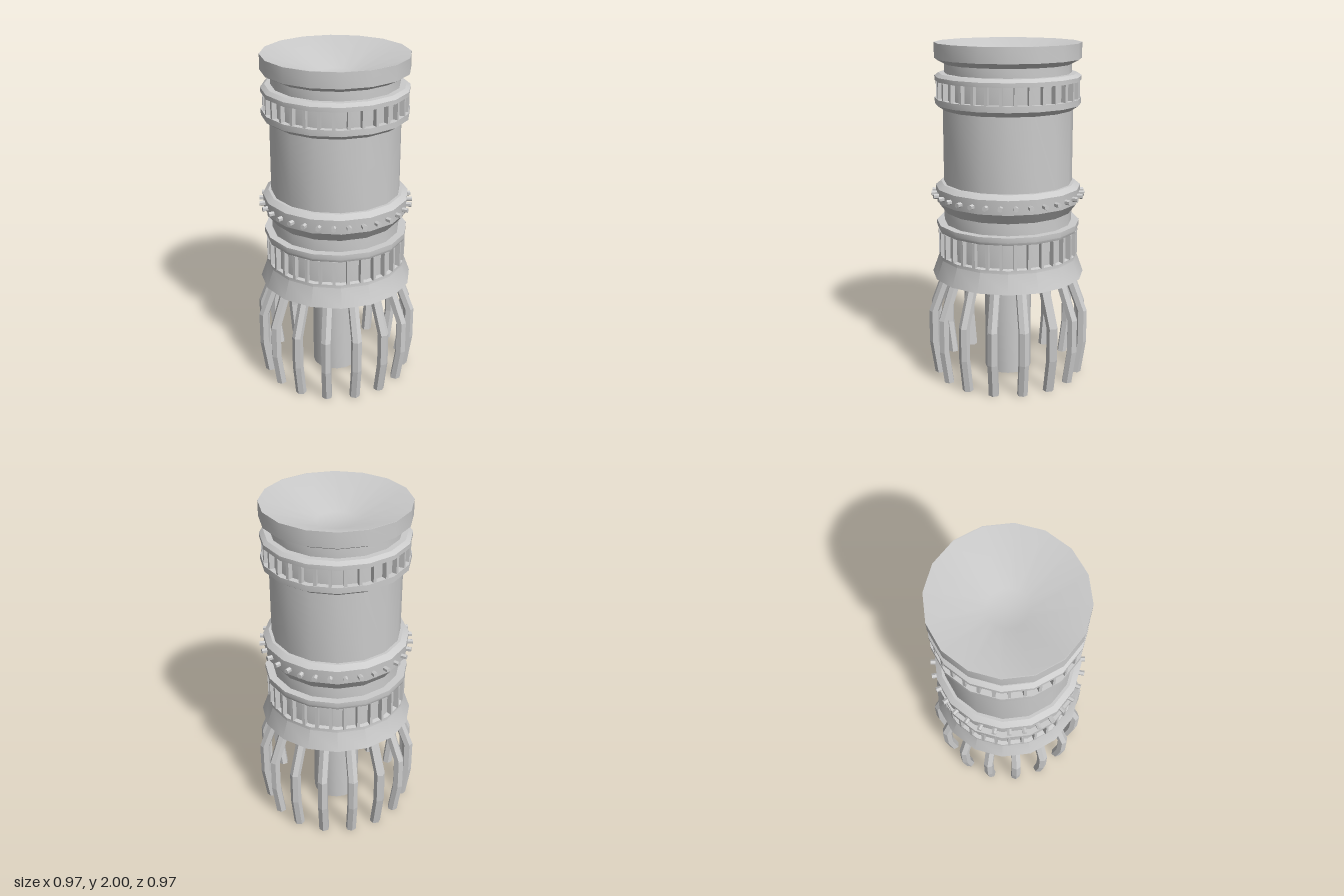
import * as THREE from 'three';
import { toCreasedNormals } from 'three/addons/utils/BufferGeometryUtils.js';

const SIDES = 16;
const grey = new THREE.MeshStandardMaterial({ color: 0xcccccc });
const greyFlat = new THREE.MeshStandardMaterial({ color: 0xcccccc, flatShading: true });

// Turned solid with flats facing the axes; radii are measured across the flats
function turned(name, profile) {
  const k = 1 / Math.cos(Math.PI / SIDES);
  const points = profile.map(([r, y]) => new THREE.Vector2(r * k, y));
  const geometry = new THREE.LatheGeometry(points, SIDES, Math.PI / SIDES);
  const mesh = new THREE.Mesh(toCreasedNormals(geometry, 0.5), grey);
  mesh.name = name;
  return mesh;
}

// Copies of a part that faces +z, spread evenly around the y axis
function ring(name, geometry, count, offset) {
  const group = new THREE.Group();
  group.name = name;
  for (let i = 0; i < count; i++) {
    const mesh = new THREE.Mesh(geometry, greyFlat);
    mesh.name = name + (i + 1);
    mesh.rotation.y = ((i + offset) / count) * Math.PI * 2;
    group.add(mesh);
  }
  return group;
}

// Six-sided pipe whose rows follow a bent path of [radius, height]
function bentPipe(path, radius) {
  const rows = path.length - 1;
  const geometry = new THREE.CylinderGeometry(radius, radius, rows, 6, rows);
  const pos = geometry.attributes.position;
  for (let i = 0; i < pos.count; i++) {
    const [r, y] = path[Math.round(pos.getY(i) + rows / 2)];
    pos.setY(i, y);
    pos.setZ(i, pos.getZ(i) + r);
  }
  geometry.computeVertexNormals();
  return geometry;
}

export function createModel() {
  const model = new THREE.Group();
  model.name = 'engine';

  // Body from the skirt up to the rim, then down into the dished top
  model.add(turned('body', [
    [0, 0.625], [0.447, 0.625], [0.408, 0.735], [0.408, 0.755], [0.385, 0.76],
    [0.385, 0.9], [0.412, 0.905], [0.418, 0.92], [0.418, 0.95], [0.373, 0.95],
    [0.373, 1.02], [0.418, 1.08], [0.422, 1.165], [0.39, 1.19], [0.373, 1.19],
    [0.373, 1.62], [0.418, 1.65], [0.418, 1.685], [0.385, 1.685],
    [0.385, 1.785], [0.418, 1.785], [0.418, 1.81], [0.395, 1.828], [0.362, 1.828],
    [0.362, 1.88], [0.418, 1.91], [0.418, 2], [0.412, 2], [0.112, 1.88], [0, 1.88],
  ]));

  // Central column under the skirt
  model.add(turned('column', [[0, 0.01], [0.138, 0.01], [0.138, 0.63], [0, 0.63]]));

  // Bent pipes hanging around the column
  const pipe = bentPipe([[0.425, 0], [0.455, 0.2], [0.455, 0.4], [0.365, 0.64]], 0.032);
  model.add(ring('pipe', pipe, 16, 0));

  // Slats in the two recessed bands
  for (const [name, low, high] of [['lowerSlat', 0.755, 0.905], ['upperSlat', 1.68, 1.79]]) {
    const slat = new THREE.BoxGeometry(0.017, high - low, 0.04);
    slat.translate(0, (low + high) / 2, 0.397);
    model.add(ring(name, slat, 32, 0.5));
  }

  // Bolts around the middle collar
  const bolt = new THREE.CylinderGeometry(0.015, 0.015, 0.06, 6);
  bolt.rotateX(Math.PI / 2).translate(0, 1.12, 0.424);
  model.add(ring('bolt', bolt, 32, 0.5));

  return model;
}
